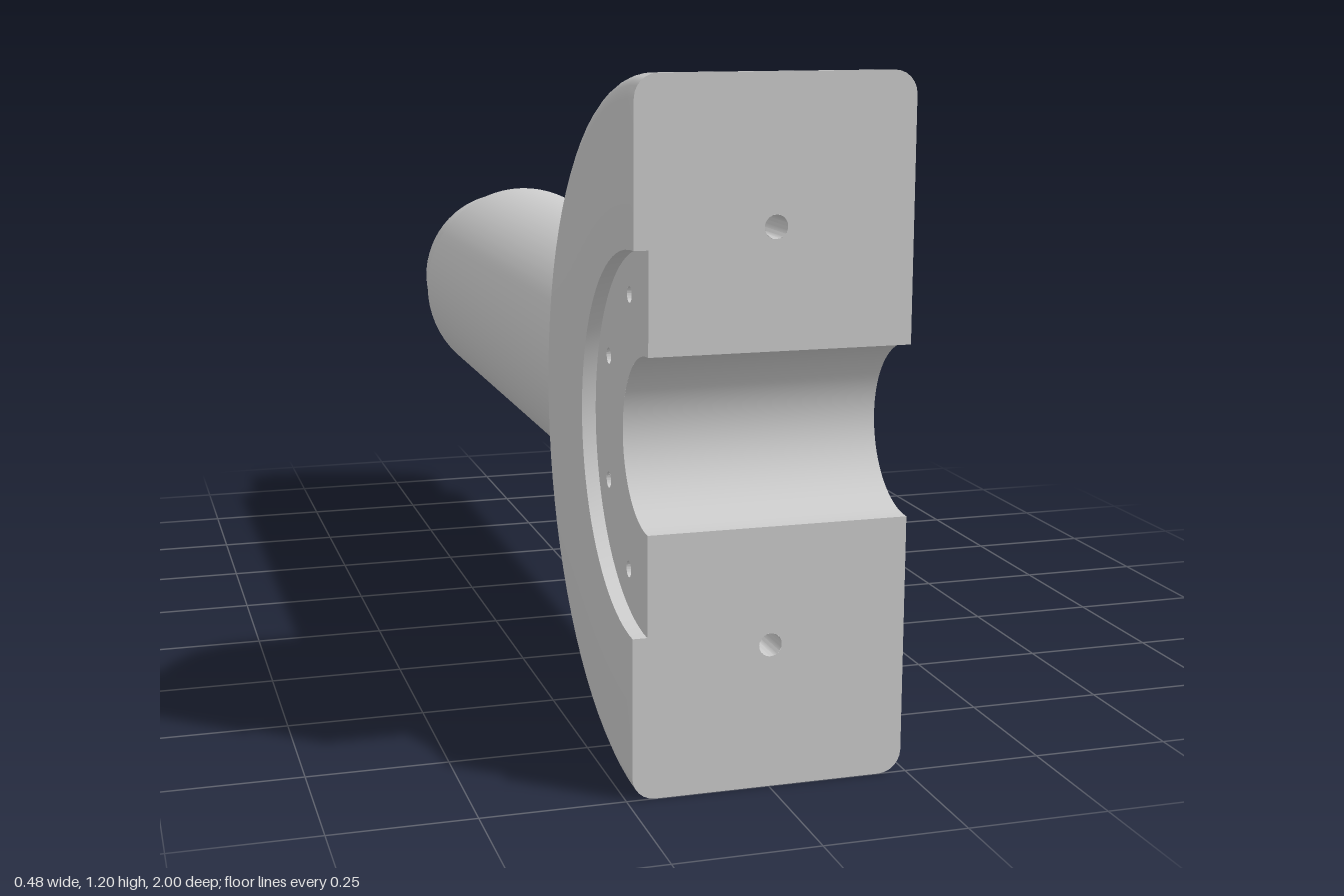
import * as THREE from 'three';
import { toCreasedNormals } from 'three/addons/utils/BufferGeometryUtils.js';
import { ParametricGeometry } from 'three/addons/geometries/ParametricGeometry.js';

const AXIS_Y = 0.6;            // height of the shaft axis
const W = 0.24, R = 0.6;       // half width and radius of the half-round block
const FILLET = 0.04;
const BORE = 0.147;            // half-round saddle
const POCKET = 0.32, FLOOR = -0.215; // shallow pocket in the -x side
const SHAFT = 0.238, COLLAR = 0.205;

export function createModel() {
  const model = new THREE.Group();
  model.name = 'clampHandle';
  const grey = new THREE.MeshStandardMaterial({ color: 0xcccccc, side: THREE.DoubleSide });
  const flat = grey.clone();
  flat.flatShading = true;

  const add = (name, geometry, parent, material = grey) => {
    const mesh = new THREE.Mesh(geometry, material);
    mesh.name = name;
    parent.add(mesh);
    return mesh;
  };
  const part = (name) => {
    const g = new THREE.Group();
    g.name = name;
    g.position.y = AXIS_Y;
    model.add(g);
    return g;
  };
  const lathe = (pts, segments, start = 0, length = Math.PI * 2) => toCreasedNormals(
    new THREE.LatheGeometry(pts.map(([r, y]) => new THREE.Vector2(r, y)), segments, start, length), 0.6);
  const circle = (x, y, r) => new THREE.Path().absarc(x, y, r, 0, Math.PI * 2, true);
  // Blind hole opening towards +y
  const blindHole = (r, depth) => lathe([[r, 0], [r, -depth], [0, -depth]], 20);

  // ---- Half-round block: profile as [radius, x] ----
  const block = part('halfRoundBlock');
  const profile = [[POCKET, FLOOR], [POCKET, -W]];
  for (const side of [-1, 1]) {
    for (let i = 0; i <= 6; i++) {
      const a = (side < 0 ? i - 6 : i) * Math.PI / 12;
      profile.push([R - FILLET + FILLET * Math.cos(a), side * (W - FILLET) + FILLET * Math.sin(a)]);
    }
  }
  profile.push([BORE, W], [BORE, FLOOR]);

  const body = add('blockBody', lathe(profile, 40, Math.PI / 2, Math.PI), block);
  body.rotation.z = -Math.PI / 2;
  body.position.z = 1;

  // Flat mating faces, each with a pin hole
  for (const s of [1, -1]) {
    const shape = new THREE.Shape(profile.map(([r, x]) => new THREE.Vector2(x, s * r)));
    shape.holes.push(circle(0, s * 0.351, 0.02));
    add('matingFace', new THREE.ShapeGeometry(shape, 20), block).position.z = 1;
    const pin = add('pinHole', blindHole(0.02, 0.15), block);
    pin.rotation.x = Math.PI / 2;
    pin.position.set(0, s * 0.351, 1);
  }

  // Pocket floor with four screw holes on an arc
  const floor = new THREE.Shape();
  floor.absarc(0, 0, POCKET, Math.PI / 2, Math.PI * 1.5, false);
  floor.absarc(0, 0, BORE, Math.PI * 1.5, Math.PI / 2, true);
  for (const deg of [115, 155, 205, 245]) {
    const a = THREE.MathUtils.degToRad(deg);
    const z = 0.258 * Math.cos(a), y = 0.258 * Math.sin(a);
    floor.holes.push(circle(z, y, 0.014));
    const screw = add('screwHole', blindHole(0.014, 0.1), block);
    screw.rotation.z = Math.PI / 2;
    screw.position.set(FLOOR, y, 1 + z);
  }
  const floorMesh = add('pocketFloor', new THREE.ShapeGeometry(floor, 40), block);
  floorMesh.rotation.y = -Math.PI / 2;
  floorMesh.position.set(FLOOR, 0, 1);

  // ---- Shaft, shoulder and bored end ----
  const shaft = part('shaft');
  add('shaftBody', lathe([[0, -0.5], [SHAFT, -0.5], [SHAFT, 0.805], [COLLAR, 0.805]], 64), shaft)
    .rotation.x = -Math.PI / 2;
  add('boredEnd', lathe([[COLLAR, 1], [0.065, 1], [0.065, 0.6], [0, 0.6]], 64), shaft)
    .rotation.x = -Math.PI / 2;

  // ---- Collar: four quarter walls, crossed by two bolt holes along x ----
  const collar = part('collar');
  const Y0 = 0.128, Z0 = -0.903, A0 = Math.asin(Y0 / COLLAR);
  const boltR = 0.018, headR = 0.03, seatX = 0.1;
  // Counterbore outline: hexagonal on +x, round on -x
  const outline = (phi, sx) => {
    const m = ((phi % (Math.PI / 3)) + Math.PI / 3) % (Math.PI / 3);
    const r = sx > 0 ? 0.033 * Math.cos(Math.PI / 6) / Math.cos(m - Math.PI / 6) : headR;
    return [Y0 + r * Math.cos(phi), Z0 + r * Math.sin(phi)];
  };

  for (const sx of [1, -1]) for (const sy of [1, -1]) {
    // Quarter wall spreading from the hole edge to the patch border
    const wall = (u, v, target) => {
      const phi = (sx * sy > 0 ? 1 - u : u) * Math.PI * 2;
      const c = Math.cos(phi), s = Math.sin(phi), k = Math.max(Math.abs(c), Math.abs(s));
      const [hy, hz] = outline(phi, sx);
      const edgeA = A0 + (c / k) * (c > 0 ? Math.PI / 2 - A0 : A0);
      const edgeZ = Z0 + (s / k) * (s > 0 ? -0.805 - Z0 : Z0 + 1);
      const a = THREE.MathUtils.lerp(Math.asin(hy / COLLAR), edgeA, v);
      const z = THREE.MathUtils.lerp(hz, edgeZ, v);
      target.set(sx * COLLAR * Math.cos(a), sy * COLLAR * Math.sin(a), z);
    };
    add('collarWall', new ParametricGeometry(wall, 48, 8), collar);

    // Counterbore wall, seat and bolt hole up to the middle
    const hole = (u, v, target) => {
      const phi = u * Math.PI * 2, step = Math.round(v * 3);
      let [y, z] = outline(phi, sx);
      let x = step === 0 ? Math.sqrt(COLLAR ** 2 - y * y) : seatX;
      if (step >= 2) {
        y = Y0 + boltR * Math.cos(phi);
        z = Z0 + boltR * Math.sin(phi);
      }
      if (step === 3) x = 0;
      target.set(sx * x, sy * y, z);
    };
    add('boltHole', new ParametricGeometry(hole, 48, 3), collar, flat);
  }
  return model;
}
